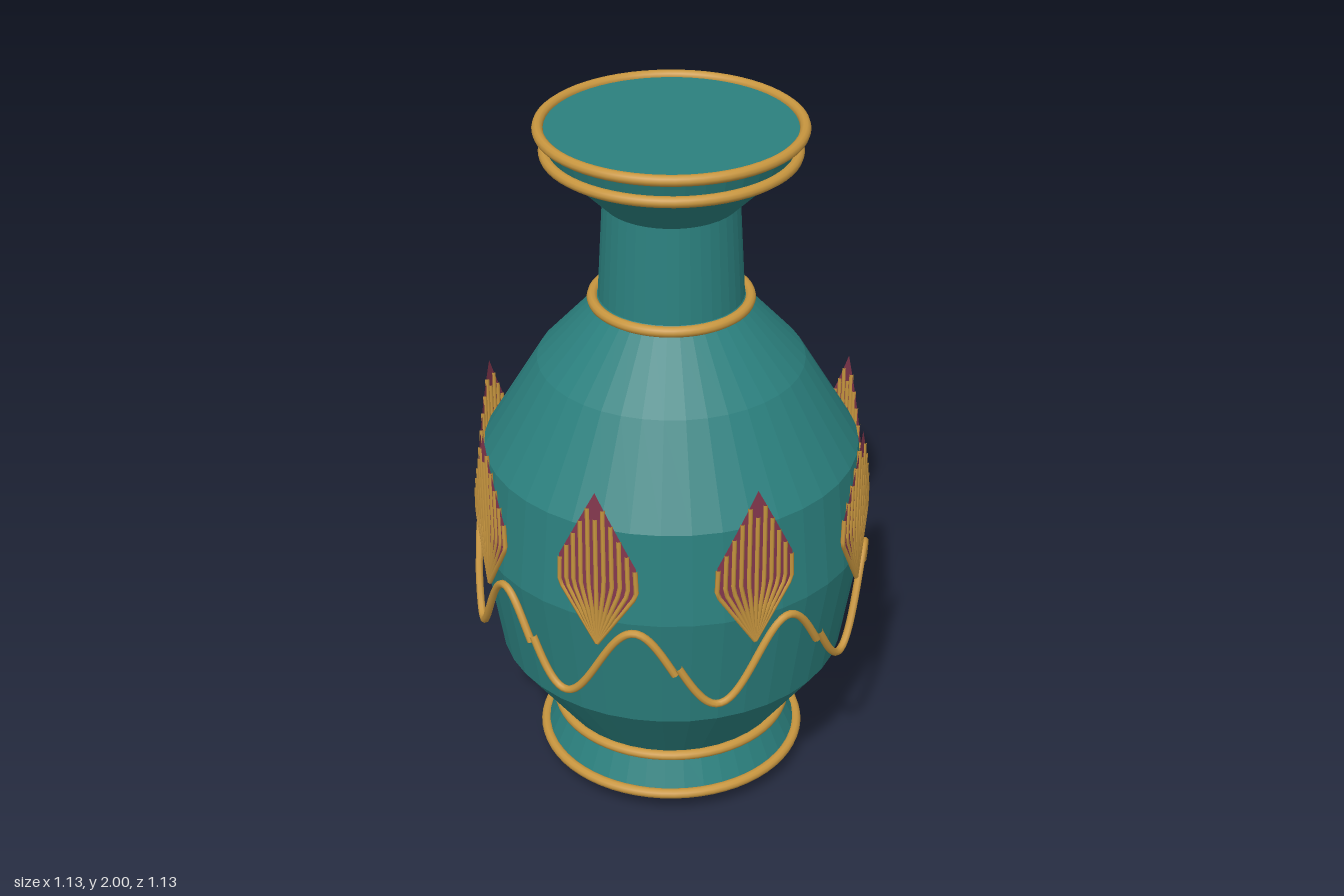
import * as THREE from 'three';

const BAND_R = 0.556; // radius of the cylinder that carries the ornament
const COUNT = 8;      // ornaments around the vase

// Point on the ornament cylinder, angle measured from the front towards +x
const onBand = (angle, y, r = BAND_R) =>
  new THREE.Vector3(Math.sin(angle) * r, y, Math.cos(angle) * r);

// Flame outline: u runs from -1 to 1 across its width
const HALF_ANGLE = 0.2;
const flameBottom = (u) => 0.705 + 0.17 * Math.abs(u);
const flameTop = (u) => 1.18 - 0.22 * Math.abs(u);

export function createModel() {
  const glaze = new THREE.MeshStandardMaterial({ color: 0x2b807e, flatShading: true });
  glaze.name = 'teal glaze';
  const gold = new THREE.MeshStandardMaterial({ color: 0xc8963f });
  gold.name = 'gold';
  const plum = new THREE.MeshStandardMaterial({ color: 0x85384f, side: THREE.DoubleSide });
  plum.name = 'plum enamel';

  const vase = new THREE.Group();
  vase.name = 'vase';
  const add = (parent, name, geometry, material) => {
    const mesh = new THREE.Mesh(geometry, material);
    mesh.name = name;
    parent.add(mesh);
    return mesh;
  };

  // Closed turned body, from foot to rim
  const profile = [
    [0, 0], [0.305, 0], [0.37, 0.06], [0.365, 0.08], [0.325, 0.17], [0.33, 0.19],
    [0.495, 0.42], [0.553, 0.78], [0.525, 1.05], [0.37, 1.31], [0.215, 1.48],
    [0.2, 1.5], [0.185, 1.775], [0.32, 1.91], [0.345, 1.985], [0, 1.985],
  ].map(([r, y]) => new THREE.Vector2(r, y));
  add(vase, 'body', new THREE.LatheGeometry(profile, 40), glaze);

  // Gold rings
  const rings = [
    ['footRing', 0.375, 0.07], ['lowerRing', 0.335, 0.178], ['neckRing', 0.215, 1.49],
    ['lipRing', 0.335, 1.92], ['rimRing', 0.35, 1.985],
  ];
  for (const [name, r, y] of rings) {
    const geometry = new THREE.TorusGeometry(r, 0.015, 10, 64);
    geometry.rotateX(Math.PI / 2);
    add(vase, name, geometry, gold).position.y = y;
  }

  // One wave period, dipping first and then rising
  const wavePoints = [];
  for (let i = 0; i <= 24; i++) {
    const t = i / 24;
    const angle = (t - 0.5) * 2 * 0.385;
    wavePoints.push(onBand(angle, 0.636 - 0.118 * Math.sin(-0.1 + t * (2 * Math.PI + 0.2))));
  }
  const waveGeometry = new THREE.TubeGeometry(
    new THREE.CatmullRomCurve3(wavePoints), 48, 0.011, 8);

  // Curved plum plate behind the ribs
  const plate = new THREE.PlaneGeometry(2, 1, 20, 1);
  const pos = plate.attributes.position;
  for (let i = 0; i < pos.count; i++) {
    const u = pos.getX(i);
    const y = pos.getY(i) > 0 ? flameTop(u) : flameBottom(u);
    const p = onBand(u * HALF_ANGLE, y, BAND_R + 0.001);
    pos.setXYZ(i, p.x, p.y, p.z);
  }
  plate.computeVertexNormals();

  // Ribs fan out from the bottom tip, bend and rise to stepped tops
  const ribGeometries = [];
  const SIDE = 5;
  for (let i = -SIDE; i <= SIDE; i++) {
    const u = i / SIDE;
    const top = flameTop(u) - (i === 0 ? 0.08 : 0.005);
    const knee = 0.875 + 0.02 * (1 - Math.abs(u));
    const path = new THREE.CurvePath();
    const a = onBand(0, 0.705);
    const b = onBand(u * HALF_ANGLE, knee);
    const c = onBand(u * HALF_ANGLE * 0.97, top);
    path.add(new THREE.LineCurve3(a, b));
    path.add(new THREE.LineCurve3(b, c));
    ribGeometries.push(new THREE.TubeGeometry(path, 12, 0.0068, 6));
  }

  // Repeat wave and flame around the vase
  for (let k = 0; k < COUNT; k++) {
    const ornament = new THREE.Group();
    ornament.name = `ornament${k + 1}`;
    ornament.rotation.y = (k * 2 * Math.PI) / COUNT;
    add(ornament, 'wave', waveGeometry, gold);
    add(ornament, 'flamePlate', plate, plum);
    ribGeometries.forEach((g, i) => add(ornament, `flameRib${i + 1}`, g, gold));
    vase.add(ornament);
  }
  return vase;
}
